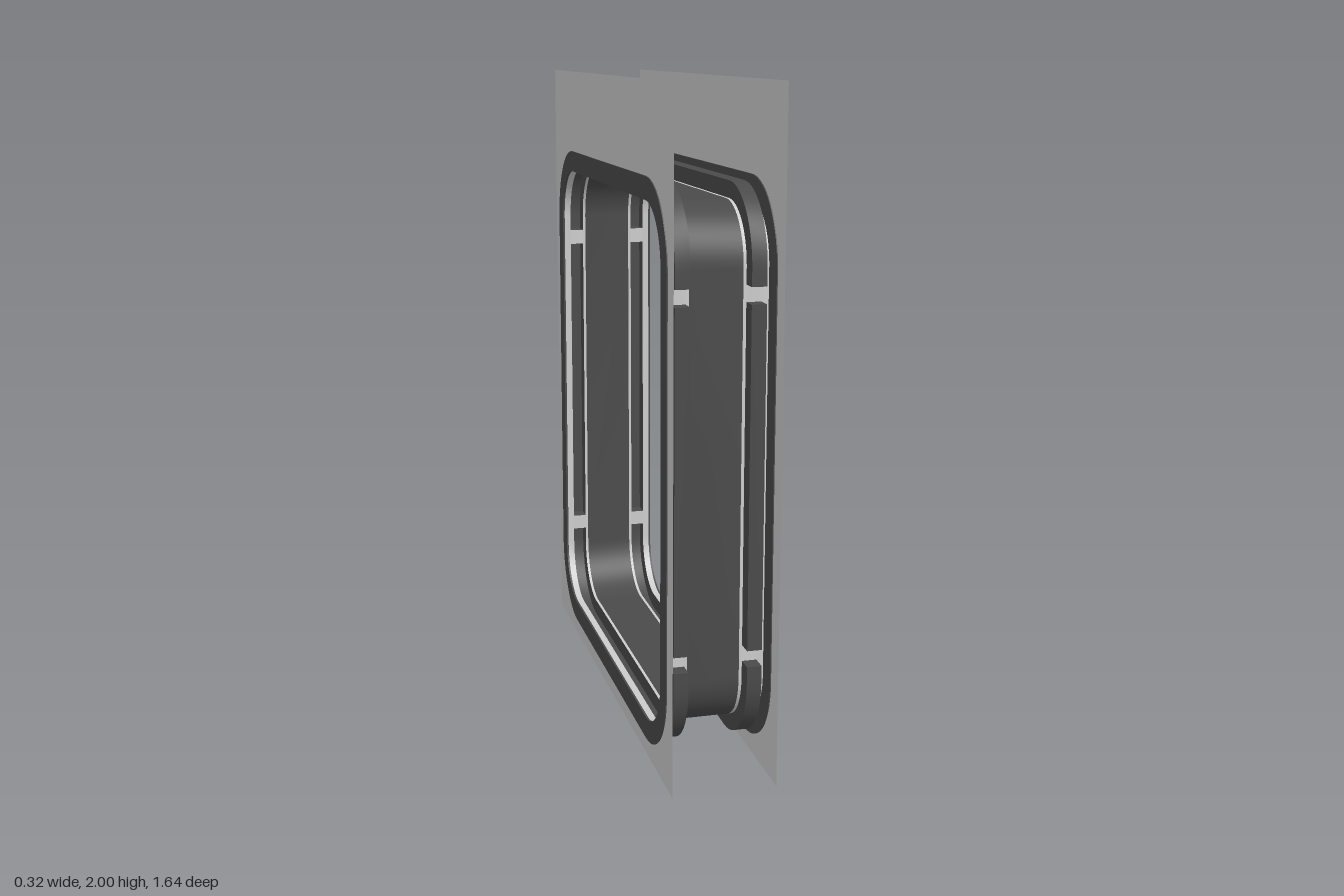
import * as THREE from 'three';
import { toCreasedNormals } from 'three/addons/utils/BufferGeometryUtils.js';

const CY = 0.893, ARC_Z = 0.517, ARC_Y = 0.6, R = 0.174; // opening: centre and corner arcs
const GAP_LOW = 0.503, GAP_HIGH = 0.552;                // bridges between pockets, from CY

const light = new THREE.MeshStandardMaterial({ color: 0xcccccc, side: THREE.DoubleSide });
const dark = new THREE.MeshStandardMaterial({ color: 0x4a4a4a, side: THREE.DoubleSide });

// Path points { z, y, nz, ny }: position on the opening and outward direction
function corner(start, steps = 14) {
  const pts = [];
  for (let i = 0; i <= steps; i++) {
    const a = start + (Math.PI / 2) * (i / steps);
    const nz = Math.cos(a), ny = Math.sin(a);
    pts.push({
      z: ARC_Z * Math.sign(Math.cos(start + Math.PI / 4)) + R * nz,
      y: CY + ARC_Y * Math.sign(Math.sin(start + Math.PI / 4)) + R * ny, nz, ny,
    });
  }
  return pts;
}
const sidePoint = (s, y) => ({ z: s * (ARC_Z + R), y: CY + y, nz: s, ny: 0 });
const topCorners = [...corner(0), ...corner(Math.PI / 2)];
const bottomCorners = [...corner(Math.PI), ...corner(Math.PI * 1.5)];
const fullLoop = [...topCorners, ...bottomCorners, topCorners[0]];
const topRun = [sidePoint(1, GAP_HIGH), ...topCorners, sidePoint(-1, GAP_HIGH)];
const bottomRun = [sidePoint(-1, -GAP_HIGH), ...bottomCorners, sidePoint(1, -GAP_HIGH)];

// Sweep a profile of [x, outward offset] pairs along a path
function sweep(path, profile, capped = false) {
  const n = profile.length, pos = [], idx = [];
  for (const p of path)
    for (const [x, d] of profile) pos.push(x, p.y + p.ny * d, p.z + p.nz * d);
  for (let i = 0; i < path.length - 1; i++)
    for (let j = 0; j < n - 1; j++) {
      const a = i * n + j, b = a + n;
      idx.push(a, a + 1, b, b, a + 1, b + 1);
    }
  if (capped)
    for (const o of [0, (path.length - 1) * n])
      for (let j = 1; j < n - 1; j++) idx.push(o, o + j, o + j + 1);
  const g = new THREE.BufferGeometry();
  g.setAttribute('position', new THREE.Float32BufferAttribute(pos, 3));
  g.setIndex(idx);
  return toCreasedNormals(g, 0.6);
}

function wallGeometry() {
  const shape = new THREE.Shape([[-0.82, 0], [0.82, 0], [0.82, 2], [-0.82, 2]].map(([z, y]) => new THREE.Vector2(z, y)));
  const d = 0.03;
  shape.holes.push(new THREE.Path(fullLoop.slice(0, -1).map(p => new THREE.Vector2(p.z + p.nz * d, p.y + p.ny * d))));
  return new THREE.ShapeGeometry(shape).rotateY(-Math.PI / 2);
}

export function createModel() {
  const model = new THREE.Group();
  model.name = 'framedOpening';
  const add = (name, geometry, material, parent = model) => {
    const m = new THREE.Mesh(geometry, material);
    m.name = name;
    parent.add(m);
    return m;
  };

  // Dark band joining both halves
  add('centreBand', sweep(fullLoop, [[-0.078, 0], [0.078, 0]]), dark);

  for (const s of [1, -1]) {
    const half = new THREE.Group();
    half.name = s > 0 ? 'leftHalf' : 'rightHalf';
    model.add(half);
    const at = profile => profile.map(([x, d]) => [s * x, d]);

    // Wall sheet with the rounded opening
    add('wall', wallGeometry(), light, half).position.x = s * 0.155;
    // Thin flange around the opening
    add('flange', sweep(fullLoop, at([[0.152, 0], [0.152, 0.067], [0.158, 0.067], [0.158, 0], [0.152, 0]])), dark, half);
    // Light lining either side of the groove
    add('innerLining', sweep(fullLoop, at([[0.078, 0], [0.087, 0]])), light, half);
    add('outerLining', sweep(fullLoop, at([[0.131, 0], [0.152, 0]])), light, half);

    // Grooves, open towards the opening and closed at their ends
    const groove = at([[0.087, 0], [0.087, 0.05], [0.131, 0.05], [0.131, 0]]);
    add('topGroove', sweep(topRun, groove, true), dark, half);
    add('bottomGroove', sweep(bottomRun, groove, true), dark, half);
    for (const f of [1, -1]) {
      add('sideGroove', sweep([sidePoint(f, -GAP_LOW), sidePoint(f, GAP_LOW)], groove, true), dark, half);
      // Light bridges between neighbouring grooves
      for (const v of [1, -1])
        add('bridge', sweep([sidePoint(f, v * GAP_LOW), sidePoint(f, v * GAP_HIGH)], at([[0.087, 0], [0.131, 0]])), light, half);
    }
  }
  return model;
}
